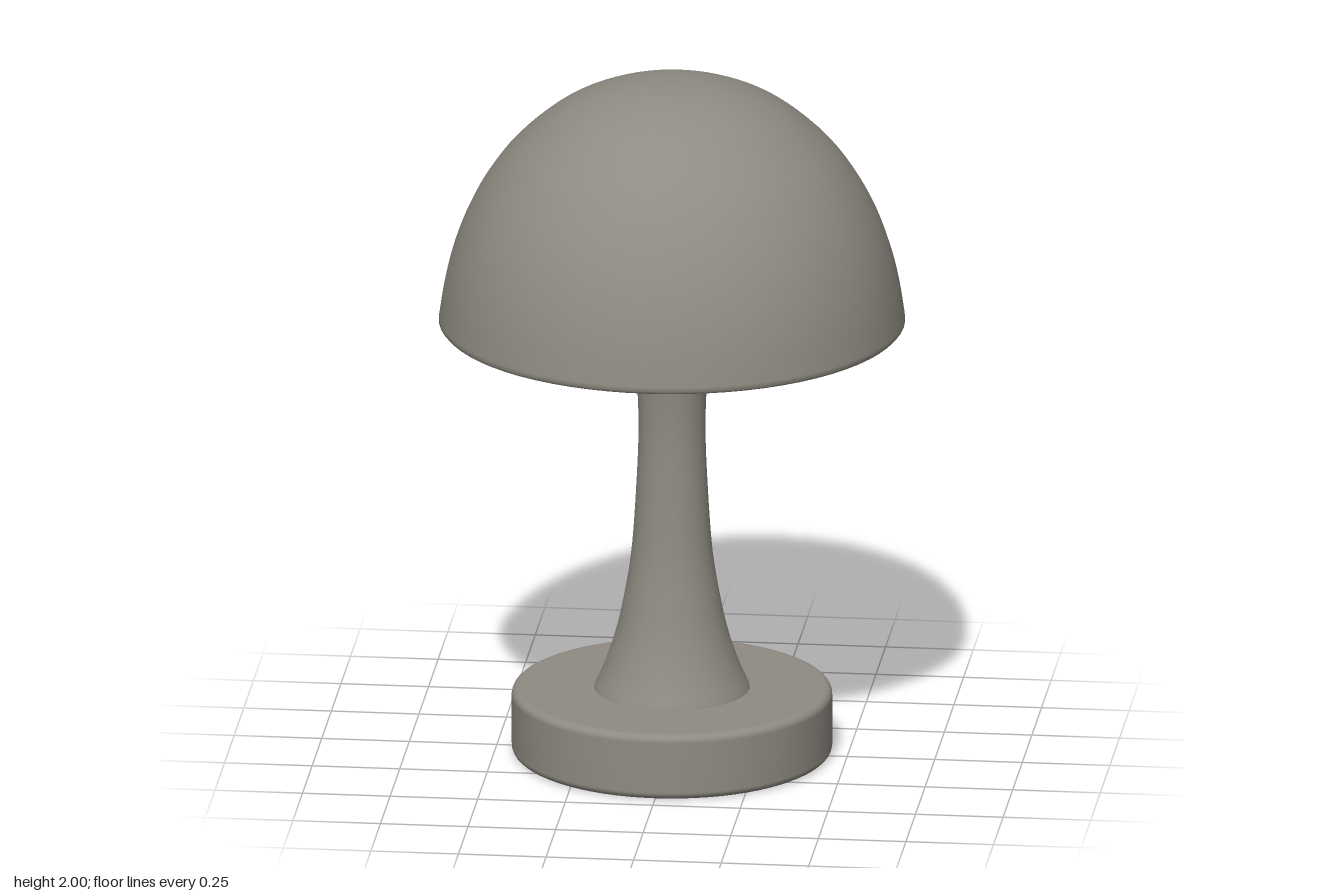
import * as THREE from 'three';

const V = (p) => new THREE.Vector2(p[0], p[1]);

// Smooth curve through a few [radius, height] points
function smooth(points, n) {
  return new THREE.SplineCurve(points.map(V)).getPoints(n);
}

// Quarter-circle fillet around (cx, cy), angles in degrees
function fillet(cx, cy, r, from, to, n = 5) {
  return Array.from({ length: n + 1 }, (_, i) => {
    const a = THREE.MathUtils.degToRad(from + ((to - from) * i) / n);
    return new THREE.Vector2(cx + r * Math.cos(a), cy + r * Math.sin(a));
  });
}

export function createModel() {
  const group = new THREE.Group();
  const grey = new THREE.MeshStandardMaterial({ color: 0x8f8b82 });
  grey.name = 'warm grey';

  const lathe = (name, profile) => {
    const mesh = new THREE.Mesh(new THREE.LatheGeometry(profile, 72), grey);
    mesh.name = name;
    group.add(mesh);
  };

  // Round base disc with softened edges
  lathe('base', [
    V([0, 0]), V([0.42, 0]),
    ...fillet(0.433, 0.022, 0.022, -90, 0),
    ...fillet(0.433, 0.17, 0.022, 0, 90),
    V([0.42, 0.192]), V([0, 0.192]),
  ]);

  // Flared stem, closed at the top
  lathe('stem', [
    ...smooth([
      [0.222, 0.185], [0.218, 0.2], [0.192, 0.26], [0.162, 0.35], [0.139, 0.45],
      [0.115, 0.6], [0.101, 0.8], [0.095, 0.97], [0.101, 1.12], [0.117, 1.27],
    ], 40),
    V([0.117, 1.285]), V([0.11, 1.295]), V([0.1, 1.297]), V([0, 1.297]),
  ]);

  // Bulb rising from the stem inside the shade
  lathe('bulb', smooth([
    [0.098, 1.28], [0.103, 1.36], [0.118, 1.47], [0.131, 1.57],
    [0.12, 1.66], [0.07, 1.715], [0, 1.73],
  ], 28));

  // Hollow dome shade: inner wall down, rounded rim, outer wall up
  const dome = [
    [0.661, 1.3], [0.645, 1.4], [0.62, 1.5], [0.583, 1.6], [0.53, 1.7],
    [0.455, 1.8], [0.345, 1.897], [0.24, 1.954], [0.12, 1.99], [0, 2],
  ];
  const inner = dome.map(([r, y]) => [r * 0.965, 1.3 + (y - 1.3) * 0.965]).reverse();
  lathe('shade', [
    ...smooth(inner, 40),
    V([0.64, 1.287]), V([0.645, 1.28]), V([0.655, 1.28]), V([0.662, 1.288]),
    ...smooth(dome, 40),
  ]);

  return group;
}
